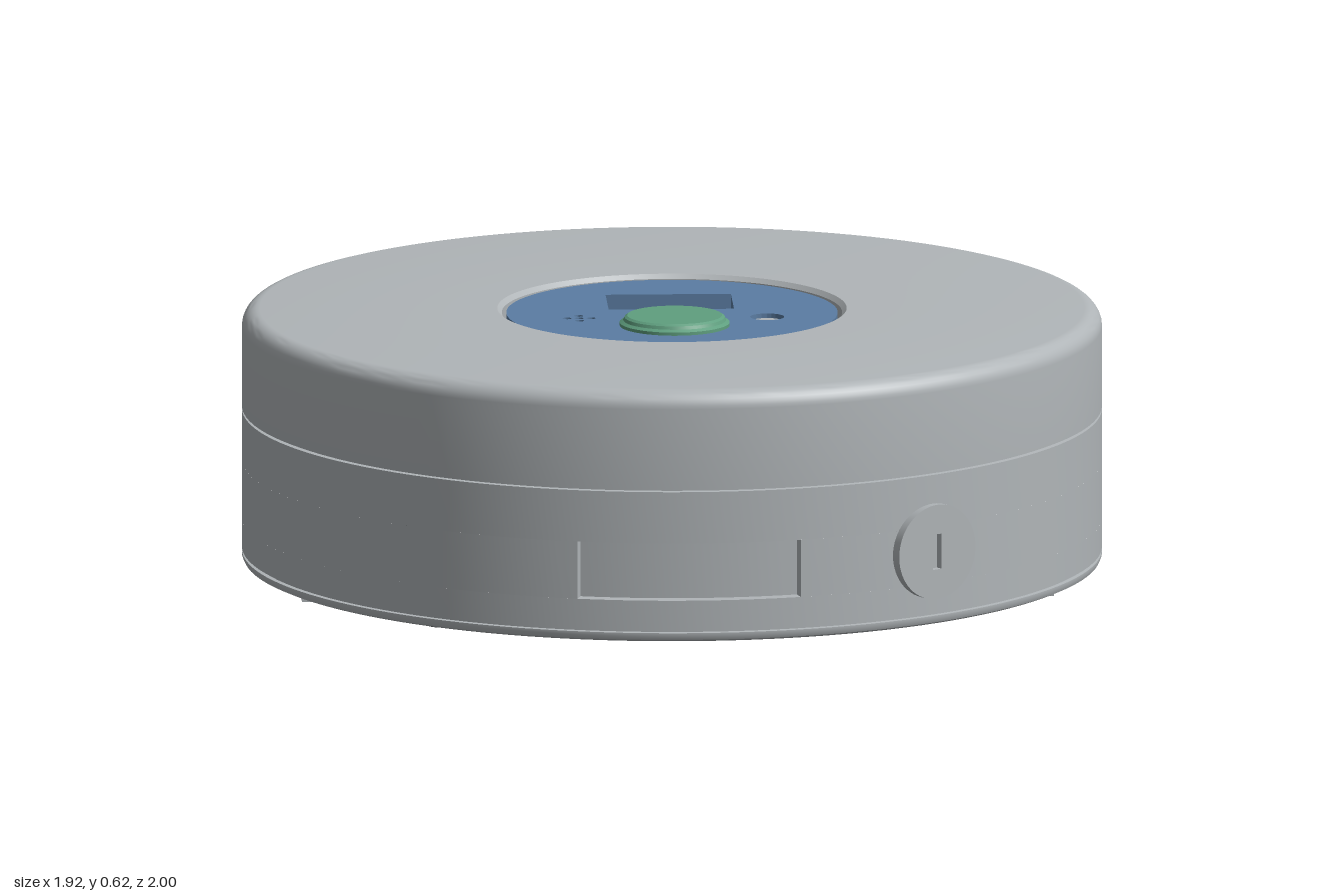
import * as THREE from 'three';
import { toCreasedNormals } from 'three/addons/utils/BufferGeometryUtils.js';

const mat = (name, color, side = THREE.FrontSide) =>
  Object.assign(new THREE.MeshStandardMaterial({ color, side }), { name });

export function createModel() {
  const grey = mat('casing grey', 0xb0b5b8);
  const blue = mat('panel blue', 0x5b7da3);
  const green = mat('button green', 0x5f9f7f);
  const dark = mat('rubber grey', 0x5c5e5f);

  const model = new THREE.Group();
  model.name = 'roundDevice';
  const device = new THREE.Group();
  device.name = 'device';
  device.position.z = 0.035;
  model.add(device);

  const add = (name, geometry, material, x = 0, y = 0, z = 0) => {
    const mesh = new THREE.Mesh(geometry, material);
    mesh.name = name;
    mesh.position.set(x, y, z);
    device.add(mesh);
    return mesh;
  };
  const lathe = (points, segments = 128, start = 0, length = Math.PI * 2) =>
    toCreasedNormals(new THREE.LatheGeometry(
      points.map(([r, y]) => new THREE.Vector2(r, y)), segments, start, length), 0.5);
  const box = (name, x0, x1, y0, y1, z0, z1) => add(name,
    new THREE.BoxGeometry(x1 - x0, y1 - y0, z1 - z0), grey,
    (x0 + x1) / 2, (y0 + y1) / 2, (z0 + z1) / 2);
  const circle = (x, y, r) => new THREE.Path().absarc(x, y, r, 0, Math.PI * 2, true);
  const rect = (x0, x1, y0, y1) => new THREE.Path([[x0, y0], [x0, y1], [x1, y1], [x1, y0]]
    .map(([x, y]) => new THREE.Vector2(x, y)));

  // Lower casing, with an opening at the front for the curved window niche
  const R = 0.96, n0 = 0.135, n1 = 0.265, half = 0.263;
  add('baseLower', lathe([[0, 0.04], [0.945, 0.04], [0.956, 0.045], [R, 0.054], [R, 0.061],
    [0.95, 0.062], [0.95, 0.067], [R, 0.068], [R, n0]]), grey);
  add('baseMiddle', lathe([[R, n0], [R, n1]], 118, half, Math.PI * 2 - 2 * half), grey);
  add('baseUpper', lathe([[R, n1], [R, 0.382], [0.948, 0.383]]), grey);
  add('frontNiche', lathe([[R, n0], [0.93, n0], [0.93, n1], [R, n1]], 16, -half, 2 * half), grey);
  for (const s of [-1, 1]) {
    const wall = new THREE.PlaneGeometry(0.03, n1 - n0)
      .rotateY(-s * Math.PI / 2).translate(0, (n0 + n1) / 2, 0.945).rotateY(s * half);
    add('nicheSide', wall, grey);
  }

  // Lid with rounded rim and a round recess in the top
  const rim = [];
  for (let i = 0; i <= 8; i++) {
    const a = i / 8 * Math.PI / 2;
    rim.push([0.92 + 0.04 * Math.cos(a), 0.57 + 0.04 * Math.sin(a)]);
  }
  add('lid', lathe([[0.948, 0.383], [0.948, 0.387], [R, 0.388], ...rim,
    [0.39, 0.61], [0.38, 0.6], [0.38, 0.55], [0, 0.55]]), grey);

  // Control panel with screen, lamp and speaker openings
  const panel = new THREE.Shape().absarc(0, 0, 0.37, 0, Math.PI * 2, false);
  panel.holes.push(rect(-0.14, 0.14, 0.035, 0.205), circle(0.21, -0.06, 0.038));
  for (const [dx, dy] of [[0, 0], [1, 0], [-1, 0], [0, 1], [0, -1]])
    panel.holes.push(circle(-0.21 + dx * 0.027, -0.06 + dy * 0.027, 0.01));
  add('controlPanel', toCreasedNormals(new THREE.ExtrudeGeometry(panel,
    { depth: 0.05, bevelEnabled: false, curveSegments: 48 }).rotateX(-Math.PI / 2), 0.5), blue, 0, 0.55, 0);
  add('speakerBacking', new THREE.CylinderGeometry(0.045, 0.045, 0.03, 24), blue, -0.21, 0.57, 0.06);
  add('indicatorLamp', new THREE.CylinderGeometry(0.036, 0.036, 0.04, 32), grey, 0.21, 0.57, 0.06);
  add('startButton', lathe([[0.123, 0.56], [0.123, 0.607], [0.115, 0.612], [0.112, 0.619],
    [0.106, 0.623], [0, 0.623]], 64), green, 0, 0, 0.145);

  // Lock disc with a key slot
  const lockShape = new THREE.Shape().absarc(0, 0, 0.107, 0, Math.PI * 2, false);
  lockShape.holes.push(rect(-0.012, 0.012, -0.04, 0.04));
  const lock = toCreasedNormals(new THREE.ExtrudeGeometry(lockShape,
    { depth: 0.035, bevelEnabled: false, curveSegments: 32 }), 0.5);
  add('lockDisc', lock.translate(0, 0.21, 0.942).rotateY(0.61), grey);

  // Rear hinge: three knuckles on a pin, with leaves to base and lid
  const axisY = 0.4, axisZ = -1;
  const knuckle = (name, x0, x1) => {
    const ring = new THREE.Shape().absarc(0, 0, 0.035, 0, Math.PI * 2, false);
    ring.holes.push(circle(0, 0, 0.018));
    const g = new THREE.ExtrudeGeometry(ring,
      { depth: x1 - x0, bevelEnabled: false, curveSegments: 20 }).rotateY(Math.PI / 2);
    add(name, toCreasedNormals(g, 0.5), grey, x0, axisY, axisZ);
  };
  for (const s of [-1, 1]) {
    const a = s < 0 ? -0.468 : 0.172, b = a + 0.296;
    knuckle('outerKnuckle', a, b);
    box('baseHingeLeaf', a, b, 0.317, 0.38, -0.995, -0.835);
  }
  knuckle('middleKnuckle', -0.162, 0.162);
  box('lidHingeLeaf', -0.162, 0.162, 0.39, 0.462, -0.993, -0.92);
  add('hingePin', new THREE.CylinderGeometry(0.014, 0.014, 0.92, 24).rotateZ(Math.PI / 2),
    grey, 0, axisY, axisZ);

  // Underside: two covers and four rubber feet
  for (const sx of [-1, 1]) {
    const x = sx * 0.71;
    box('bottomCover', x - 0.13, x + 0.13, 0.013, 0.05, -0.33, 0.33);
    for (const sz of [-1, 1])
      add('foot', lathe([[0, 0], [0.045, 0.001], [0.058, 0.006], [0.065, 0.016], [0.065, 0.045]], 32),
        dark, sx * 0.53, 0, sz * 0.53);
  }
  return model;
}
